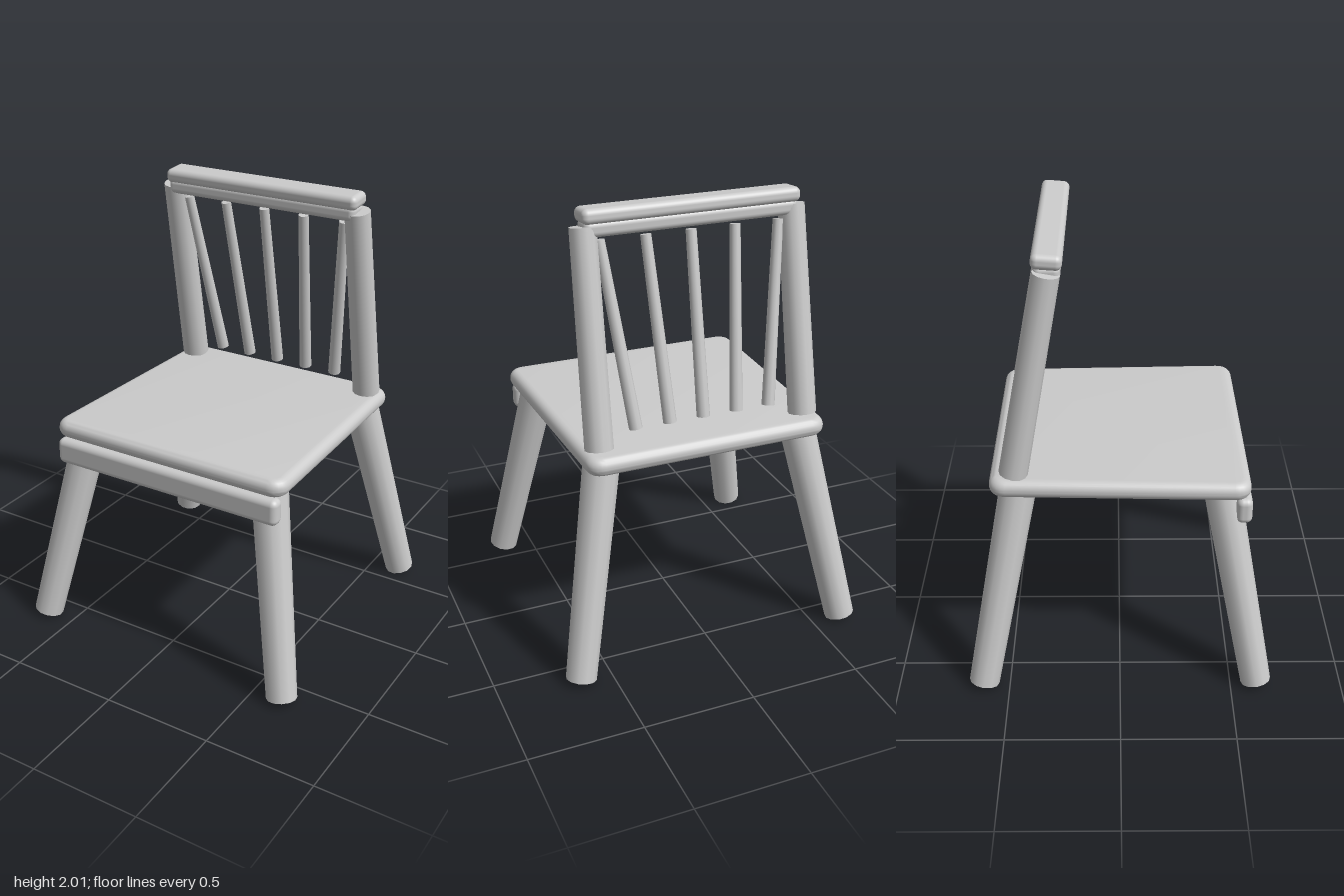
import * as THREE from 'three';
import { toCreasedNormals } from 'three/addons/utils/BufferGeometryUtils.js';
import { RoundedBoxGeometry } from 'three/addons/geometries/RoundedBoxGeometry.js';

const material = new THREE.MeshStandardMaterial({ color: 0xcccccc });
const UP = new THREE.Vector3(0, 1, 0);

function addMesh(parent, name, geometry) {
  const mesh = new THREE.Mesh(geometry, material);
  mesh.name = name;
  parent.add(mesh);
  return mesh;
}

// Tapered round bar between two points
function addBar(parent, name, from, to, rFrom, rTo, sides) {
  const a = new THREE.Vector3(...from), b = new THREE.Vector3(...to);
  const dir = b.clone().sub(a);
  const bar = addMesh(parent, name, new THREE.CylinderGeometry(rTo, rFrom, dir.length(), sides));
  bar.position.copy(a).add(b).multiplyScalar(0.5);
  bar.quaternion.setFromUnitVectors(UP, dir.normalize());
  return bar;
}

function addRoundedBar(parent, name, size, position, radius) {
  const bar = addMesh(parent, name, new RoundedBoxGeometry(...size, 4, radius));
  bar.position.set(...position);
  return bar;
}

// Seat slab: slightly tapered towards the back, with a full round edge
function seatGeometry() {
  const bevel = 0.039, r = 0.035;
  const front = 0.585 - bevel, back = 0.555 - bevel, depth = 0.56 - bevel;
  const s = new THREE.Shape();
  s.moveTo(-front + r, -depth);
  s.lineTo(front - r, -depth);
  s.quadraticCurveTo(front, -depth, front, -depth + r);
  s.lineTo(back, depth - r);
  s.quadraticCurveTo(back, depth, back - r, depth);
  s.lineTo(-back + r, depth);
  s.quadraticCurveTo(-back, depth, -back, depth - r);
  s.lineTo(-front, -depth + r);
  s.quadraticCurveTo(-front, -depth, -front + r, -depth);
  const geometry = new THREE.ExtrudeGeometry(s, {
    depth: 0.004, bevelSize: bevel, bevelThickness: bevel, bevelSegments: 6, curveSegments: 6,
  });
  geometry.rotateX(-Math.PI / 2);
  return toCreasedNormals(geometry, 0.7);
}

export function createModel() {
  const chair = new THREE.Group();
  chair.name = 'chair';

  // Seat and front apron
  addMesh(chair, 'seat', seatGeometry()).position.y = 0.968;
  addRoundedBar(chair, 'frontApron', [1.13, 0.12, 0.07], [0, 0.866, 0.533], 0.028);

  for (const side of [1, -1]) {
    const label = side > 0 ? 'left' : 'right';
    // Splayed legs
    for (const end of [1, -1]) {
      addBar(chair, `${label}${end > 0 ? 'Front' : 'Back'}Leg`,
        [side * 0.64, 0.013, end * 0.615], [side * 0.463, 0.945, end * 0.437], 0.068, 0.08, 12);
    }
    // Back posts leaning rearwards at the foot
    addBar(chair, `${label}BackPost`,
      [side * 0.477, 1.017, -0.455], [side * 0.467, 1.922, -0.29], 0.063, 0.057, 12);
  }

  // Crest rail: cap over a thinner strip
  addRoundedBar(chair, 'topRail', [0.97, 0.064, 0.126], [0, 1.967, -0.288], 0.026).rotation.x = 0.08;
  addRoundedBar(chair, 'lowerRail', [0.95, 0.07, 0.108], [0, 1.916, -0.288], 0.026);

  // Fanned spindles
  for (let i = -2; i <= 2; i++) {
    addBar(chair, `spindle${i + 3}`,
      [i * 0.155, 1.078, -0.448], [i * 0.201, 1.864, -0.3], 0.029, 0.023, 10);
  }
  return chair;
}
